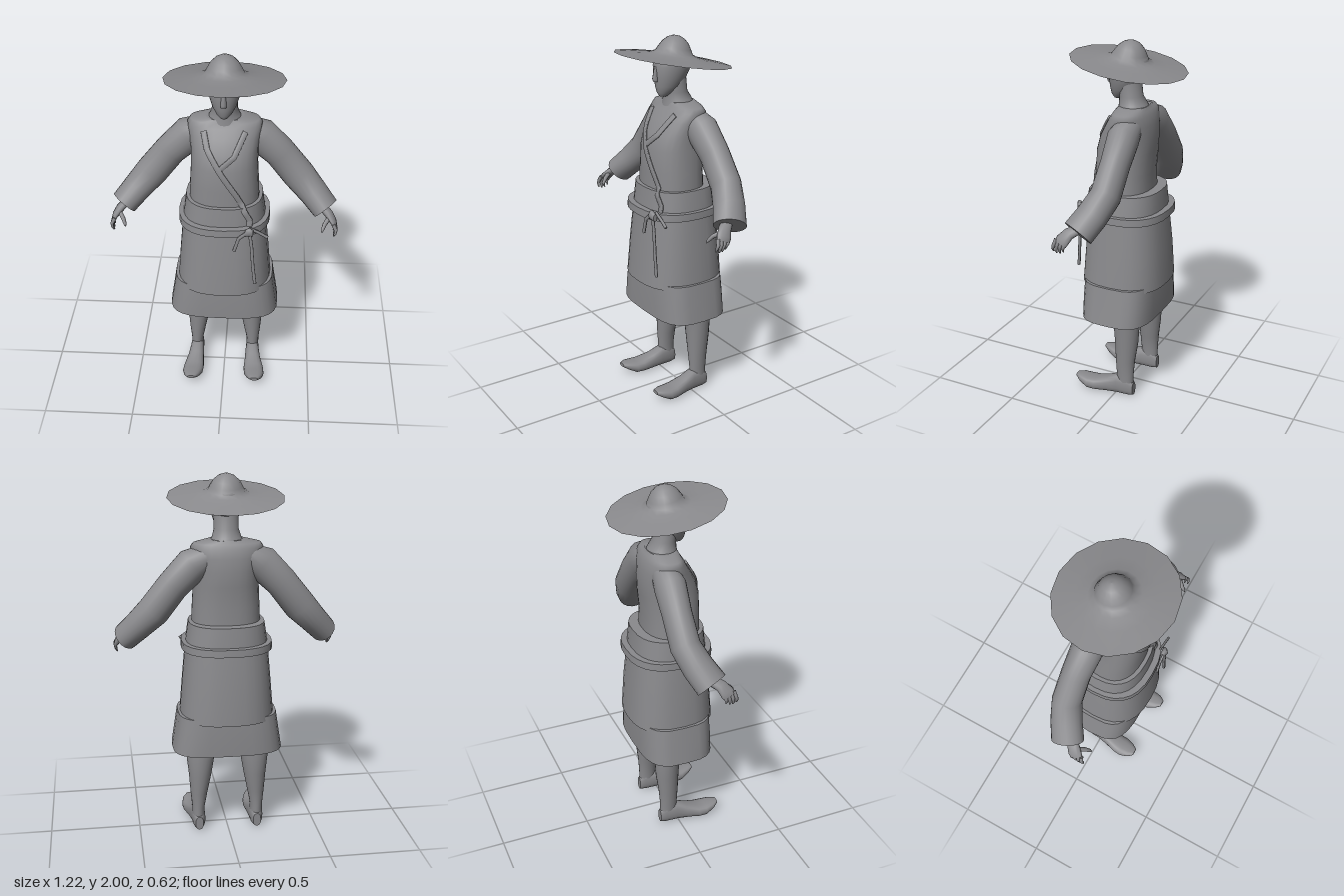
import * as THREE from 'three';

const V = (x, y, z) => new THREE.Vector3(x, y, z);
const X = V(1, 0, 0), Y = V(0, 1, 0), Z = V(0, 0, 1), BACK = V(0, 0, -1);

const grey = new THREE.MeshStandardMaterial({ color: 0x8a8a8d, side: THREE.DoubleSide });
grey.name = 'plain grey';

const signPow = (v, p) => Math.sign(v) * Math.pow(Math.abs(v), p);

// Skin through sections [x, y, z, ru, rv]; rings face dir, or follow the path.
// pow below 1 makes the rings squarer; side -1 mirrors the path.
function loft(name, sections, { ref = BACK, dir = null, pow = 1, n = 20, side = 1, caps = true } = {}) {
  const centres = sections.map(s => V(s[0] * side, s[1], s[2]));
  const rings = sections.map((s, i) => {
    const next = centres[Math.min(i + 1, centres.length - 1)];
    const t = dir ? dir.clone() : next.clone().sub(centres[Math.max(i - 1, 0)]).normalize();
    const u = ref.clone().cross(t).normalize();
    const v = t.clone().cross(u);
    return Array.from({ length: n }, (_, j) => {
      const a = (j / n) * Math.PI * 2;
      return centres[i].clone()
        .addScaledVector(u, s[3] * signPow(Math.cos(a), pow))
        .addScaledVector(v, s[4] * signPow(Math.sin(a), pow));
    });
  });
  const pts = rings.flat(), index = [];
  for (let i = 0; i < rings.length - 1; i++) {
    for (let j = 0; j < n; j++) {
      const a = i * n + j, b = i * n + (j + 1) % n;
      index.push(a, b, b + n, a, b + n, a + n);
    }
  }
  // Caps have their own corners so that the rims stay sharp
  if (caps) {
    for (const end of [0, rings.length - 1]) {
      const base = pts.length;
      pts.push(...rings[end], centres[end]);
      for (let j = 0; j < n; j++) {
        const a = base + j, b = base + (j + 1) % n;
        index.push(base + n, ...(end ? [a, b] : [b, a]));
      }
    }
  }
  const geo = new THREE.BufferGeometry().setFromPoints(pts);
  geo.setIndex(index);
  geo.computeVertexNormals();
  const mesh = new THREE.Mesh(geo, grey);
  mesh.name = name;
  return mesh;
}

// Front surface depth of an upright body at (x, y)
function frontZ(sections, pow, x, y) {
  for (let i = 0; i < sections.length - 1; i++) {
    const a = sections[i], b = sections[i + 1];
    if (y < a[1] || y > b[1]) continue;
    const [, , cz, rx, rz] = a.map((v, k) => THREE.MathUtils.lerp(v, b[k], (y - a[1]) / (b[1] - a[1])));
    const c = Math.pow(Math.min(1, Math.abs(x) / rx), 1 / pow);
    return cz + rz * Math.pow(1 - c * c, pow / 2);
  }
  return -1;
}

export function createModel() {
  const model = new THREE.Group();
  model.name = 'robedFigure';
  const add = (...args) => model.add(loft(...args));

  // Upper robe, waistband, skirt, belt and hem
  const torso = [
    [0, 1.12, 0.015, 0.19, 0.155], [0, 1.3, 0.018, 0.183, 0.15], [0, 1.42, 0.01, 0.176, 0.154],
    [0, 1.5, -0.003, 0.178, 0.143], [0, 1.57, -0.02, 0.188, 0.12], [0, 1.62, -0.03, 0.195, 0.098],
    [0, 1.642, -0.03, 0.18, 0.083], [0, 1.66, -0.028, 0.1, 0.075],
  ];
  const robe = [[0, 0.675, 0.002, 0.26, 0.236], [0, 0.88, 0, 0.243, 0.222],
    [0, 1.09, 0, 0.224, 0.2], [0, 1.212, 0, 0.206, 0.19]];
  const upright = { dir: Y, n: 28 };
  add('torso', torso, { ...upright, pow: 0.85 });
  add('skirt', robe.slice(0, 3), { ...upright, pow: 0.8 });
  add('waistband', robe.slice(2), { ...upright, pow: 0.8 });
  add('belt', [[0, 1.065, 0, 0.248, 0.235], [0, 1.105, 0, 0.246, 0.232]], { ...upright, pow: 0.8 });
  add('hem', [[0, 0.487, 0, 0.305, 0.205], [0, 0.6, 0, 0.287, 0.205], [0, 0.7, 0, 0.272, 0.2]],
    { ...upright, pow: 0.6 });

  // Neck, head and nose
  add('neck', [[0, 1.63, -0.026, 0.1, 0.085], [0, 1.67, -0.022, 0.078, 0.075],
    [0, 1.71, -0.01, 0.066, 0.062], [0, 1.8, 0, 0.066, 0.062]], upright);
  add('head', [[0, 1.69, 0.065, 0.02, 0.022], [0, 1.71, 0.055, 0.04, 0.045], [0, 1.745, 0.032, 0.062, 0.075],
    [0, 1.79, 0.022, 0.077, 0.09], [0, 1.85, 0.008, 0.09, 0.107], [0, 1.9, 0, 0.088, 0.1],
    [0, 1.93, 0, 0.06, 0.07]], upright);
  add('nose', [[0, 1.77, 0.112, 0.016, 0.012], [0, 1.785, 0.114, 0.016, 0.017],
    [0, 1.85, 0.11, 0.008, 0.008]], { dir: Y, n: 8 });

  // Wide sixteen-sided hat, tipped up at the front
  const hatProfile = [[0.312, 0], [0.2, 0.012], [0.13, 0.022], [0.1, 0.035], [0.088, 0.058],
    [0.07, 0.088], [0.045, 0.111], [0.02, 0.122], [0, 0.125]].map(p => new THREE.Vector2(...p));
  const hat = new THREE.Mesh(new THREE.LatheGeometry(hatProfile, 16), grey);
  hat.name = 'hat';
  hat.position.set(0, 1.875, 0.004);
  hat.rotation.x = -0.163;
  model.add(hat);

  for (const side of [1, -1]) {
    const label = side > 0 ? 'left' : 'right';

    // Wide sleeve, bent forward at the elbow
    add(label + 'Sleeve', [
      [0.11, 1.57, -0.05, 0.07, 0.07], [0.185, 1.53, -0.053, 0.094, 0.083], [0.29, 1.425, -0.06, 0.086, 0.076],
      [0.395, 1.29, -0.058, 0.088, 0.078], [0.475, 1.205, -0.022, 0.078, 0.084], [0.545, 1.13, 0.022, 0.072, 0.088],
    ], { ref: Z, side });

    // Hand with four curled fingers and a thumb
    add(label + 'Palm', [[0.53, 1.145, 0.03, 0.022, 0.03], [0.56, 1.125, 0.065, 0.022, 0.034],
      [0.585, 1.095, 0.088, 0.017, 0.04], [0.594, 1.075, 0.097, 0.012, 0.036]], { ref: Z, n: 12, side });
    for (let f = 0; f < 4; f++) {
      const z = 0.068 + f * 0.019, drop = [0.012, 0.002, 0, 0.008][f];
      add(label + 'Finger', [[0.585, 1.095, z, 0.011, 0.011], [0.6, 1.065, z + 0.008, 0.01, 0.01],
        [0.598, 1.04 + drop, z + 0.014, 0.007, 0.008], [0.59, 1.022 + drop, z + 0.014, 0.003, 0.004]],
      { ref: Z, n: 8, side });
    }
    add(label + 'Thumb', [[0.565, 1.115, 0.085, 0.014, 0.014], [0.54, 1.095, 0.122, 0.012, 0.012],
      [0.528, 1.072, 0.143, 0.009, 0.009], [0.525, 1.06, 0.152, 0.003, 0.003]], { ref: Y, n: 8, side });

    // Leg and foot with raised toe
    add(label + 'Leg', [
      [0.165, 0.04, -0.055, 0.036, 0.048], [0.166, 0.13, -0.053, 0.035, 0.05], [0.162, 0.22, -0.053, 0.048, 0.056],
      [0.155, 0.33, -0.057, 0.063, 0.066], [0.152, 0.43, -0.056, 0.077, 0.071], [0.147, 0.5, -0.05, 0.088, 0.072],
      [0.145, 0.6, -0.04, 0.09, 0.075],
    ], { dir: Y, side });
    add(label + 'Foot', [
      [0.165, 0.042, -0.106, 0.022, 0.038], [0.165, 0.06, -0.075, 0.036, 0.06], [0.166, 0.06, -0.01, 0.04, 0.06],
      [0.17, 0.046, 0.05, 0.046, 0.046], [0.177, 0.036, 0.12, 0.058, 0.036], [0.181, 0.037, 0.165, 0.058, 0.034],
      [0.184, 0.052, 0.21, 0.045, 0.023], [0.184, 0.062, 0.243, 0.022, 0.01],
    ], { ref: Y, dir: Z, pow: 0.8, side });
  }

  // Flat ribbons lying on the robe
  const ribbon = (name, width, points, minZ = -1) => {
    const path = [];
    for (let i = 0; i < points.length - 1; i++) {
      for (let k = i ? 1 : 0; k <= 5; k++) {
        const [x, y] = points[i].map((v, c) => THREE.MathUtils.lerp(v, points[i + 1][c], k / 5));
        const z = Math.max(frontZ(torso, 0.85, x, y), frontZ(robe, 0.8, x, y), minZ);
        path.push([x, y, z + 0.004, width / 2, 0.006]);
      }
    }
    add(name, path, { ref: Z, n: 8, pow: 0.35 });
  };
  ribbon('collarLeft', 0.03, [[0.11, 1.61], [0.055, 1.5], [-0.015, 1.44]]);
  ribbon('collarRight', 0.032, [[-0.105, 1.61], [-0.085, 1.53], [-0.03, 1.44], [0.07, 1.28], [0.14, 1.14], [0.14, 1.08]]);
  ribbon('longTie', 0.018, [[0.14, 1.12], [0.155, 1.0], [0.163, 0.88], [0.176, 0.76]], 0.222);
  ribbon('shortTie', 0.018, [[0.14, 1.11], [0.085, 1.06], [0.062, 0.98]], 0.228);
  ribbon('sideTie', 0.016, [[0.14, 1.11], [0.19, 1.085], [0.238, 1.055]], 0.2);
  add('beltKnot', [[0.118, 1.09, 0.225, 0.02, 0.012], [0.14, 1.105, 0.232, 0.026, 0.018],
    [0.162, 1.09, 0.222, 0.02, 0.012]], { ref: Z, dir: X, n: 10 });

  return model;
}
